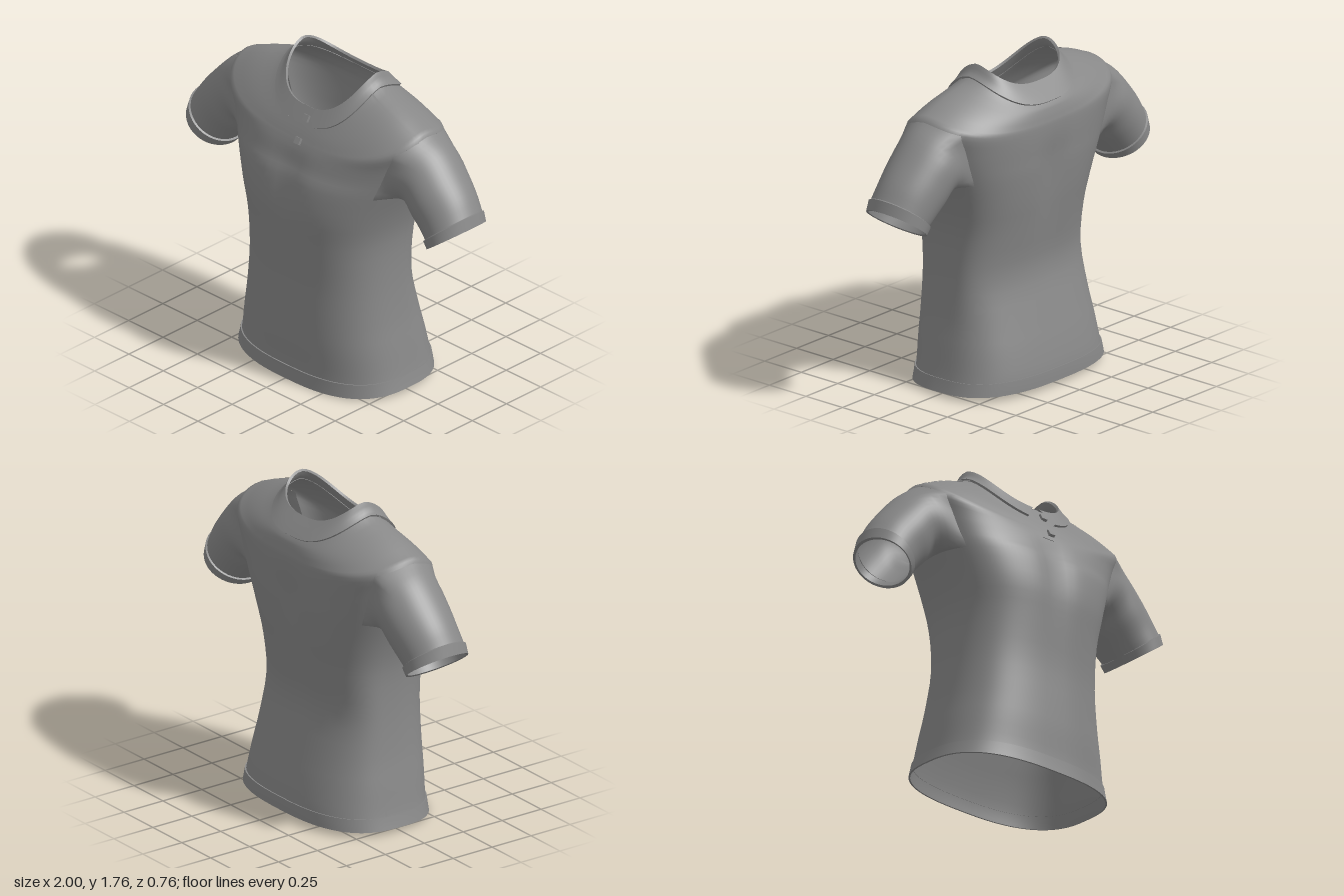
import * as THREE from 'three';
import { toCreasedNormals } from 'three/addons/utils/BufferGeometryUtils.js';

const cloth = new THREE.MeshStandardMaterial({ color: 0x888888, side: THREE.DoubleSide });
cloth.name = 'grey cloth';
const RAD = Math.PI / 180;

// Body sections: half width, side y, side z, front y, front z, back y, back z
const RINGS = [
  [0.54, 0.02, -0.02, 0.0, 0.355, 0.03, -0.37],
  [0.52, 0.1, -0.02, 0.09, 0.35, 0.11, -0.365],
  [0.495, 0.25, -0.02, 0.25, 0.355, 0.25, -0.335],
  [0.47, 0.4, -0.02, 0.4, 0.355, 0.4, -0.295],
  [0.45, 0.62, -0.02, 0.62, 0.355, 0.62, -0.245],
  [0.45, 0.85, -0.02, 0.85, 0.375, 0.85, -0.275],
  [0.485, 1.02, -0.02, 1.02, 0.388, 1.02, -0.305],
  [0.54, 1.18, -0.025, 1.18, 0.368, 1.18, -0.325],
  [0.58, 1.29, -0.025, 1.26, 0.335, 1.27, -0.33],
  [0.62, 1.41, -0.02, 1.33, 0.31, 1.36, -0.335],
  [0.658, 1.535, -0.01, 1.37, 0.292, 1.43, -0.335],
  [0.6, 1.575, 0, 1.39, 0.282, 1.46, -0.33],
  [0.48, 1.625, 0, 1.42, 0.267, 1.5, -0.32],
  [0.31, 1.685, -0.02, 1.46, 0.245, 1.54, -0.3],
  [0.262, 1.75, -0.04, 1.545, 0.195, 1.63, -0.215],
];
const TOP = RINGS.length - 1;
const HOLE = { half: 30, low: 7, high: 10 };

// Smooth value of one section channel at height parameter v
function channel(k, v) {
  const i = Math.min(Math.floor(v), TOP - 1), t = v - i;
  const at = (n) => RINGS[Math.min(Math.max(n, 0), TOP)][k];
  const a = at(i), b = at(i + 1);
  const m = (b - at(i - 1)) / 2, n = (at(i + 2) - a) / 2;
  const t2 = t * t, t3 = t2 * t;
  return a * (2 * t3 - 3 * t2 + 1) + m * (t3 - 2 * t2 + t) + b * (3 * t2 - 2 * t3) + n * (t3 - t2);
}

// Point on the shirt surface: angle in degrees (0 = left, 90 = front), height parameter v
function surface(deg, v) {
  const [w, ys, zs, yf, zf, yb, zb] = RINGS[0].map((_, k) => channel(k, v));
  const c = Math.cos(deg * RAD), s = Math.sin(deg * RAD);
  const f = Math.abs(s), front = s > 0;
  const x = w * Math.sign(c) * Math.abs(c) ** 0.75;
  const dip = 0.02 * Math.exp(-((x / 0.09) ** 2) - ((v - 7) / 1.7) ** 2);
  const z = zs + ((front ? zf - dip : zb + dip) - zs) * f ** 0.75;
  return new THREE.Vector3(x, ys + ((front ? yf : yb) - ys) * f ** 1.2, z);
}

// Surface point pushed outwards along the normal
function raised(deg, v, d) {
  const v0 = Math.max(v - 0.02, 0), v1 = Math.min(v + 0.02, TOP);
  const up = surface(deg, v1).sub(surface(deg, v0));
  const along = surface(deg + 0.5, v).sub(surface(deg - 0.5, v));
  return surface(deg, v).addScaledVector(up.cross(along).normalize(), d);
}

// Skin over rows of points
function skin(rows, closed, skip = () => false) {
  const n = rows[0].length, index = [];
  for (let i = 0; i < rows.length - 1; i++) {
    for (let j = 0; j < (closed ? n : n - 1); j++) {
      if (skip(i, j)) continue;
      const a = i * n + j, b = i * n + ((j + 1) % n), c = a + n, d = b + n;
      index.push(a, c, b, b, c, d);
    }
  }
  const geo = new THREE.BufferGeometry().setFromPoints(rows.flat());
  geo.setIndex(index);
  geo.computeVertexNormals();
  return geo;
}

// Raised strip of cloth lying on the body, with closed lips on its upper and lower edges
function strip(from, to, v0, v1, nu, nv, d, closed = false) {
  const row = (v, off) => Array.from({ length: closed ? nu : nu + 1 }, (_, j) => {
    const a = from(v), b = to(v);
    return raised(a + ((b - a) * j) / nu, v, off);
  });
  const rows = [row(v0, -0.002)];
  for (let i = 0; i <= nv; i++) rows.push(row(v0 + ((v1 - v0) * i) / nv, d));
  rows.push(row(v1, -0.002));
  return toCreasedNormals(skin(rows, closed), 0.8);
}

// Sleeve sections: top x, top y, bottom x, bottom y, centre z, half depth
const SLEEVE = [
  [0.745, 1.47, 0.575, 1.145, -0.03, 0.192],
  [0.85, 1.36, 0.635, 1.085, -0.025, 0.185],
  [0.925, 1.27, 0.69, 1.03, -0.02, 0.175],
  [0.975, 1.19, 0.735, 0.985, -0.012, 0.17],
];
const CUFF = [
  [0.968, 1.195, 0.732, 0.99, -0.012, 0.168],
  [0.982, 1.195, 0.722, 0.982, -0.012, 0.18],
  [0.999, 1.135, 0.75, 0.95, -0.01, 0.178],
  [0.985, 1.128, 0.76, 0.962, -0.01, 0.168],
  [0.968, 1.18, 0.735, 0.99, -0.012, 0.166],
];
const SIDES = 48;
const angles = Array.from({ length: SIDES }, (_, j) => (j / SIDES) * Math.PI * 2);

function sectionPoint([tx, ty, bx, by, zc, hz], a) {
  const k = (1 + Math.sin(a)) / 2;
  return new THREE.Vector3(bx + (tx - bx) * k, by + (ty - by) * k, zc + hz * Math.cos(a));
}

function armholePoint(a) {
  const c = Math.cos(a), s = Math.sin(a), d = 1 / Math.max(Math.abs(c), Math.abs(s));
  const mid = (HOLE.low + HOLE.high) / 2;
  return surface(HOLE.half * c * d, mid + (HOLE.high - mid) * s * d);
}

const mirrorRows = (rows) =>
  rows.map((r) => r.map((p) => new THREE.Vector3(-p.x, p.y, p.z)).reverse());

export function createModel() {
  const shirt = new THREE.Group();
  shirt.name = 'shirt';
  const add = (name, geo) => {
    const mesh = new THREE.Mesh(geo, cloth);
    mesh.name = name;
    shirt.add(mesh);
    return mesh;
  };

  // Body with open armholes, neck and hem
  const NU = 96, PER = 3, hole = (HOLE.half / 360) * NU;
  const bodyRows = [];
  for (let i = 0; i <= TOP * PER; i++) {
    bodyRows.push(Array.from({ length: NU }, (_, j) => surface((j * 360) / NU, i / PER)));
  }
  add('body', skin(bodyRows, true, (i, j) => {
    if (i < HOLE.low * PER || i >= HOLE.high * PER) return false;
    const k = (j + hole) % (NU / 2);
    return k < 2 * hole;
  }));

  // Sleeves and cuffs
  const curves = angles.map((a) => new THREE.CatmullRomCurve3(
    [armholePoint(a), ...SLEEVE.map((r) => sectionPoint(r, a))]));
  const sleeveRows = Array.from({ length: 15 }, (_, i) => curves.map((c) => c.getPoint(i / 14)));
  const cuffRows = CUFF.map((r) => angles.map((a) => sectionPoint(r, a)));
  for (const [side, flip] of [['left', (r) => r], ['right', mirrorRows]]) {
    add(side + 'Sleeve', skin(flip(sleeveRows), true));
    add(side + 'Cuff', toCreasedNormals(skin(flip(cuffRows), true), 0.7));
  }

  // Collar with slanted points at the front
  const gap = (v) => 2 + 9 * (TOP - v);
  add('collar', strip((v) => 90 + gap(v), (v) => 450 - gap(v), TOP - 1, TOP, 90, 5, 0.012));

  // Hem band
  add('hem', strip(() => 0, () => 360, 0, 0.9, 96, 3, 0.007, true));

  // Side and shoulder seams
  for (const [side, deg] of [['left', (a) => a], ['right', (a) => 180 - a]]) {
    const seam = (a, v0, v1, n) => {
      const e = [deg(a - 0.8), deg(a + 0.8)].sort((p, q) => p - q);
      return strip(() => e[0], () => e[1], v0, v1, 2, n, 0.005);
    };
    add(side + 'SideSeam', seam(-5, 0.9, 7, 18));
    add(side + 'ShoulderSeam', seam(7, 10, 13, 9));
  }

  // Button placket and buttons
  add('placket', strip(() => 88.5, () => 91.5, 9.2, TOP, 6, 12, 0.003));
  for (const [y, z] of [[1.495, 0.232], [1.385, 0.292]]) {
    const button = add('button', new THREE.BoxGeometry(0.036, 0.036, 0.018));
    button.position.set(0.024, y, z);
    button.rotation.x = -0.55;
  }
  return shirt;
}
